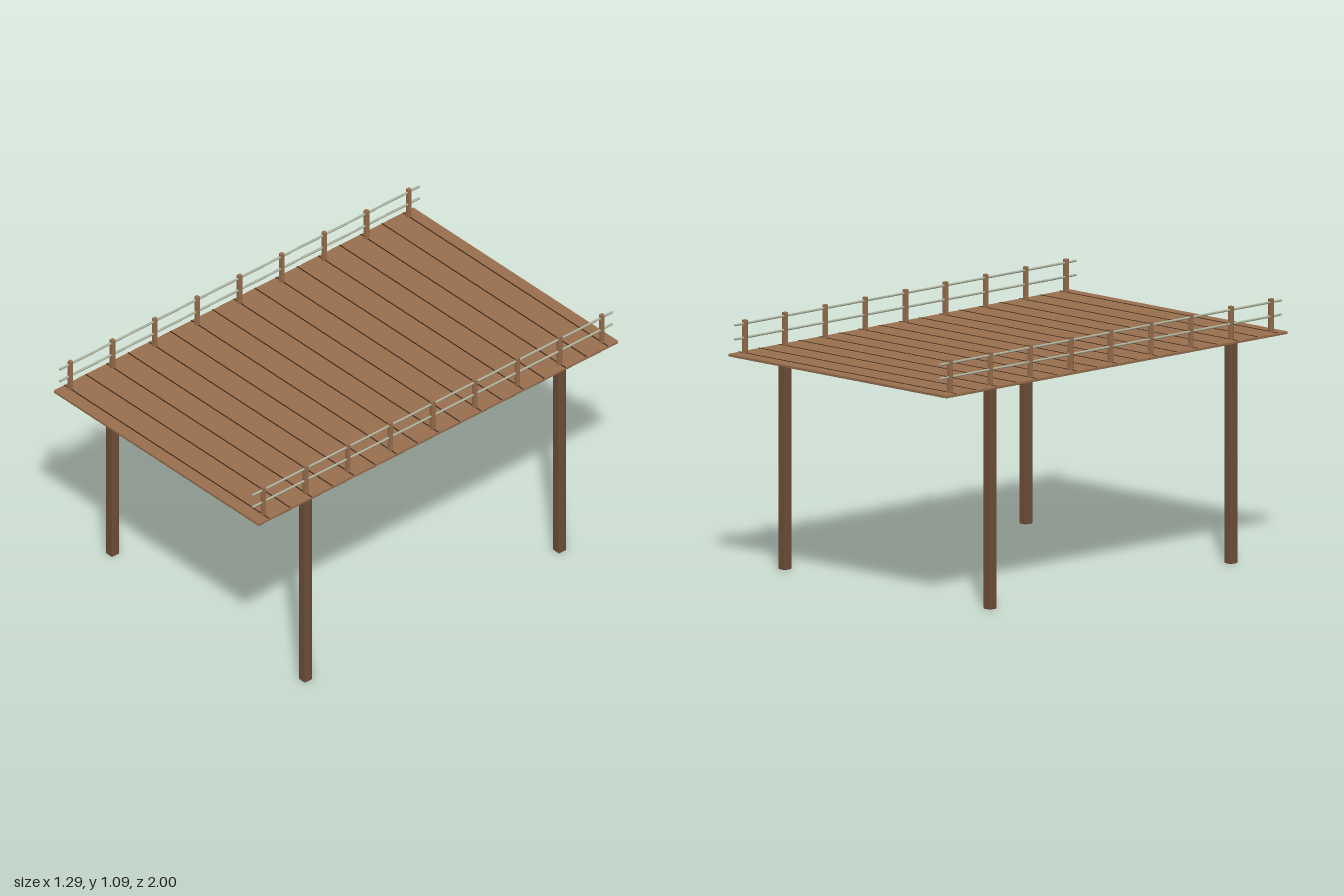
import * as THREE from 'three';
import { RoundedBoxGeometry } from 'three/addons/geometries/RoundedBoxGeometry.js';

export function createModel() {
  const model = new THREE.Group();
  model.name = 'raisedDeck';

  const material = (name, color) => {
    const m = new THREE.MeshStandardMaterial({ color });
    m.name = name;
    return m;
  };
  const plankWood = material('plank wood', 0x9a704e);
  const legWood = material('dark leg wood', 0x71503a);
  const seamDark = material('seam brown', 0x3a281c);
  const railGrey = material('rail rope', 0xb0b5a0);

  const add = (name, geometry, mat, x, y, z) => {
    const mesh = new THREE.Mesh(geometry, mat);
    mesh.name = name;
    mesh.position.set(x, y, z);
    model.add(mesh);
    return mesh;
  };

  const spacing = 2 / 17; // plank width
  const sideX = 0.607;
  const deckTop = 0.949;

  // Deck slab
  add('deck', new RoundedBoxGeometry(1.29, 0.012, 2, 1, 0.002), plankWood, 0, deckTop - 0.006, 0);

  // Thin dark seams between planks
  const seamGeometry = new THREE.BoxGeometry(1.288, 0.002, 0.005);
  for (let i = -8; i <= 8; i++) add('plankSeam', seamGeometry, seamDark, 0, deckTop + 0.0005, i * spacing);

  // Shared shapes with chamfered edges
  const legGeometry = new RoundedBoxGeometry(0.04, 0.94, 0.04, 1, 0.004);
  const postGeometry = new RoundedBoxGeometry(0.018, 0.15, 0.018, 1, 0.002);
  const railGeometry = new THREE.CylinderGeometry(0.005, 0.005, 2, 8).rotateX(Math.PI / 2);

  for (const side of [-1, 1]) {
    const x = side * sideX;
    // Support legs
    for (const end of [-1, 1]) add('leg', legGeometry, legWood, x, 0.47, end * 6 * spacing);
    // Railing posts
    for (let i = -4; i <= 4; i++) add('railPost', postGeometry, plankWood, x, 1.016, i * 2 * spacing);
    // Horizontal rails
    for (const y of [1.015, 1.075]) add('rail', railGeometry, railGrey, x, y, 0);
  }
  return model;
}
